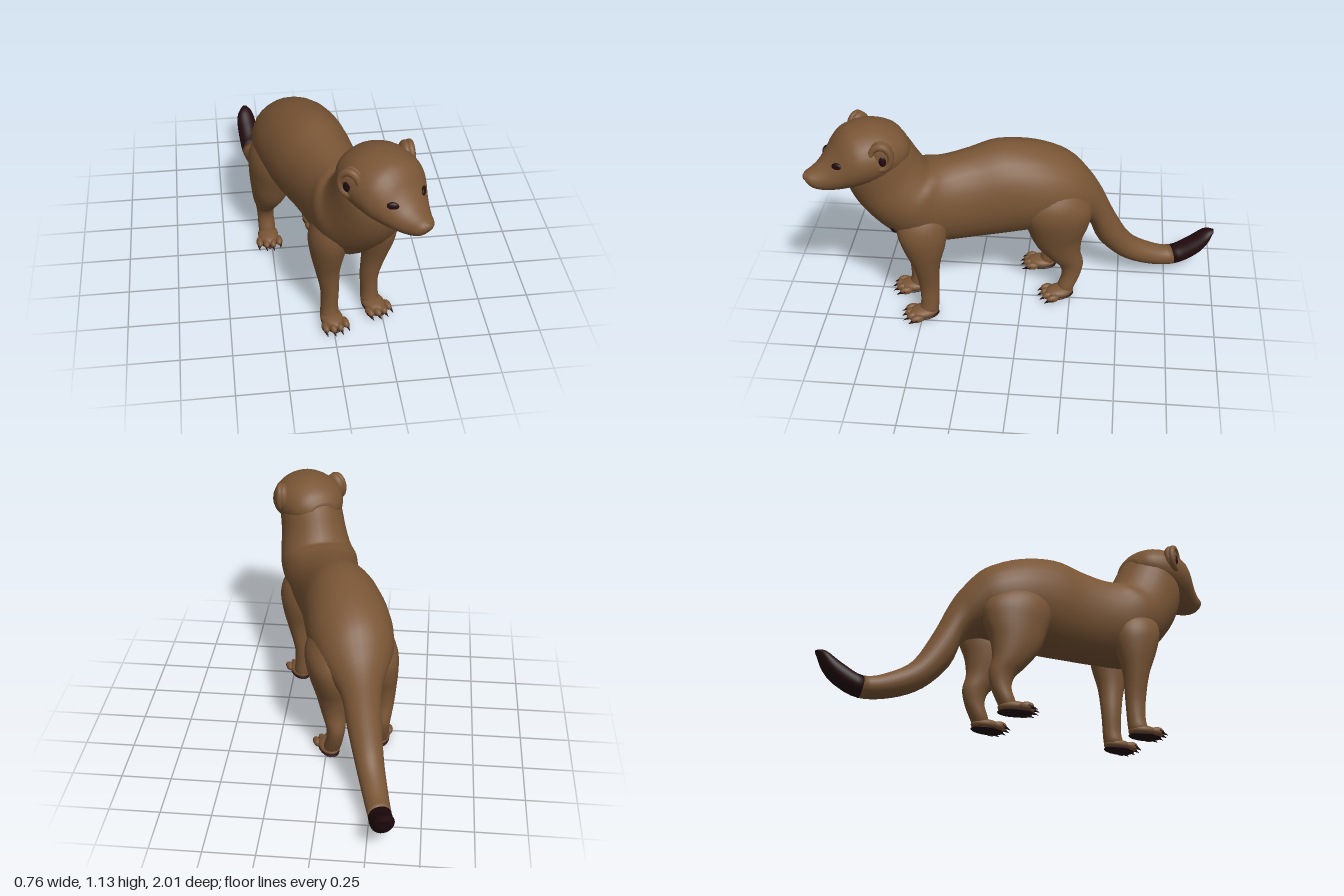
import * as THREE from 'three';

const fur = new THREE.MeshStandardMaterial({ color: 0x795535 });
fur.name = 'brown fur';
const dark = new THREE.MeshStandardMaterial({ color: 0x220a0d });
dark.name = 'dark brown';

const BODY_SLOPE = 0.3; // sideways drift of the body per unit of z

function mesh(name, geometry, material, parent) {
  const m = new THREE.Mesh(geometry, material);
  m.name = name;
  parent.add(m);
  return m;
}

function ball(name, material, parent, pos, scale) {
  const m = mesh(name, new THREE.SphereGeometry(1, 20, 14), material, parent);
  m.position.set(...pos);
  m.scale.set(...scale);
  return m;
}

// Smoothly subdivide control rings
function refine(rings, sub) {
  const out = [];
  const at = (i) => rings[Math.max(0, Math.min(rings.length - 1, i))];
  for (let i = 0; i < rings.length - 1; i++) {
    for (let s = 0; s < sub; s++) {
      const t = s / sub;
      out.push(rings[i].map((b, k) => {
        const a = at(i - 1)[k], c = at(i + 1)[k], d = at(i + 2)[k];
        return b + 0.5 * t * (c - a + t * (2 * a - 5 * b + 4 * c - d + t * (3 * (b - c) + d - a)));
      }));
    }
  }
  out.push(rings[rings.length - 1]);
  return out;
}

// Skin over rings [x, zA, yA, zB, yB, halfWidth]: A and B are opposite points of an oval
function loft(rings, slope) {
  const N = 28, pos = [], idx = [];
  const len = Math.hypot(1, slope);
  for (const [x, zA, yA, zB, yB, w] of rings) {
    const cz = (zA + zB) / 2, cy = (yA + yB) / 2;
    const uz = (zA - zB) / 2, uy = (yA - yB) / 2;
    for (let j = 0; j < N; j++) {
      const a = (j / N) * Math.PI * 2, c = Math.cos(a) * w, s = Math.sin(a);
      pos.push(x + c / len + s * uz * slope, cy + s * uy, cz - (c * slope) / len + s * uz);
    }
  }
  const n = rings.length;
  for (let i = 0; i < n - 1; i++) {
    for (let j = 0; j < N; j++) {
      const a = i * N + j, b = i * N + ((j + 1) % N);
      idx.push(a, b, b + N, a, b + N, a + N);
    }
  }
  for (const [i, flip] of [[0, true], [n - 1, false]]) {
    const [x, zA, yA, zB, yB] = rings[i], c = pos.length / 3;
    pos.push(x, (yA + yB) / 2, (zA + zB) / 2);
    for (let j = 0; j < N; j++) {
      const a = i * N + j, b = i * N + ((j + 1) % N);
      idx.push(c, flip ? b : a, flip ? a : b);
    }
  }
  const g = new THREE.BufferGeometry();
  g.setAttribute('position', new THREE.Float32BufferAttribute(pos, 3));
  g.setIndex(idx);
  g.computeVertexNormals();
  return g;
}

// Tail tip to neck
const tailRings = [
  [-0.33, -1.0, 0.255, -0.985, 0.225, 0.02],
  [-0.33, -0.955, 0.252, -0.962, 0.165, 0.048],
  [-0.32, -0.88, 0.2, -0.905, 0.1, 0.057],
  [-0.305, -0.78, 0.147, -0.79, 0.044, 0.057],
  [-0.275, -0.67, 0.178, -0.64, 0.064, 0.062],
  [-0.24, -0.556, 0.257, -0.5, 0.134, 0.07],
  [-0.205, -0.46, 0.43, -0.385, 0.262, 0.085],
  [-0.185, -0.39, 0.59, -0.33, 0.39, 0.1],
];
const trunkRings = [
  [-0.167, -0.33, 0.69, -0.25, 0.44, 0.145],
  [-0.145, -0.235, 0.8, -0.17, 0.43, 0.19],
  [-0.105, -0.075, 0.88, -0.06, 0.415, 0.212],
  [-0.055, 0.11, 0.915, 0.08, 0.405, 0.202],
  [-0.005, 0.25, 0.89, 0.22, 0.405, 0.182],
  [0.04, 0.33, 0.875, 0.39, 0.41, 0.18],
  [0.08, 0.38, 0.868, 0.56, 0.43, 0.192],
  [0.11, 0.42, 0.865, 0.67, 0.54, 0.202],
  [0.135, 0.45, 0.867, 0.755, 0.65, 0.188],
  [0.15, 0.49, 0.93, 0.81, 0.75, 0.172],
  [0.165, 0.53, 1.01, 0.835, 0.85, 0.165],
  [0.175, 0.57, 1.07, 0.82, 0.93, 0.152],
  [0.18, 0.625, 1.11, 0.76, 0.99, 0.11],
];

// Head in its own frame, facing +z
const headRings = [
  [0, -0.18, 1.03, -0.18, 0.95, 0.07],
  [0, -0.14, 1.085, -0.14, 0.9, 0.13],
  [0, -0.06, 1.125, -0.06, 0.86, 0.17],
  [0, 0.02, 1.133, 0.02, 0.848, 0.18],
  [0, 0.1, 1.12, 0.1, 0.84, 0.168],
  [0, 0.15, 1.083, 0.15, 0.835, 0.143],
  [0, 0.19, 1.03, 0.195, 0.835, 0.115],
  [0, 0.235, 0.983, 0.24, 0.84, 0.088],
  [0, 0.28, 0.958, 0.275, 0.85, 0.066],
  [0, 0.318, 0.943, 0.305, 0.868, 0.047],
  [0, 0.335, 0.925, 0.325, 0.895, 0.022],
];

// Leg rings from top to ankle; x is measured outwards from the ankle
const frontLegRings = [
  [-0.1, 0.54, 0.78, 0.42, 0.78, 0.04],
  [-0.025, 0.59, 0.64, 0.37, 0.64, 0.085],
  [0.008, 0.595, 0.55, 0.36, 0.55, 0.09],
  [0.015, 0.57, 0.45, 0.37, 0.46, 0.08],
  [0.012, 0.53, 0.33, 0.4, 0.34, 0.06],
  [0, 0.51, 0.2, 0.41, 0.2, 0.045],
  [0, 0.505, 0.1, 0.415, 0.1, 0.042],
  [0, 0.515, 0.045, 0.42, 0.045, 0.045],
  [0, 0.5, 0.015, 0.43, 0.015, 0.03],
];
const hindLegRings = [
  [-0.1, -0.07, 0.76, -0.24, 0.74, 0.05],
  [-0.05, -0.015, 0.65, -0.31, 0.63, 0.1],
  [-0.025, 0.0, 0.56, -0.345, 0.55, 0.11],
  [-0.02, -0.03, 0.45, -0.335, 0.46, 0.105],
  [-0.01, -0.07, 0.34, -0.305, 0.37, 0.085],
  [0, -0.14, 0.245, -0.295, 0.28, 0.063],
  [0, -0.19, 0.19, -0.312, 0.2, 0.048],
  [0, -0.205, 0.13, -0.3, 0.13, 0.042],
  [0, -0.185, 0.06, -0.27, 0.06, 0.044],
  [0, -0.19, 0.018, -0.25, 0.018, 0.033],
];

// Paw with four toes, claws and a dark sole
function paw(x, z, yaw, parent) {
  const g = new THREE.Group();
  g.name = 'paw';
  g.position.set(x, 0, z);
  g.rotation.y = yaw;
  parent.add(g);
  ball('pawPad', fur, g, [0, 0.034, 0.03], [0.054, 0.03, 0.078]);
  ball('sole', dark, g, [0, 0.012, 0.035], [0.051, 0.012, 0.085]);
  for (let i = -1.5; i <= 1.5; i++) {
    const tx = i * 0.034, tz = 0.1 - Math.abs(i) * 0.013;
    ball('toe', fur, g, [tx, 0.029, tz], [0.018, 0.021, 0.034]);
    const claw = mesh('claw', new THREE.ConeGeometry(0.014, 0.05, 8), dark, g);
    claw.position.set(tx * 1.1, 0.021, tz + 0.03);
    claw.rotation.x = Math.PI / 2 + 0.35;
  }
}

// side mirrors the profile; lean slants the leg above and below the hock
function leg(name, profile, side, dx, dz, lean, yaw, parent) {
  const g = new THREE.Group();
  g.name = name;
  g.position.set(dx, 0, dz);
  parent.add(g);
  const rings = profile.map(([x, zA, yA, ...rest]) =>
    [side * x + lean * Math.abs(yA - 0.17), zA, yA, ...rest]);
  mesh('limb', loft(refine(rings, 4), BODY_SLOPE), fur, g);
  const [x, zA, , zB] = rings[rings.length - 1];
  paw(x, (zA + zB) / 2, yaw, g);
}

export function createModel() {
  const model = new THREE.Group();
  model.name = 'animal';

  // Trunk, neck and tail share one skin; only the tail tip is dark
  const SUB = 4, skin = refine([...tailRings, ...trunkRings], SUB);
  mesh('tailTip', loft(skin.slice(0, 3 * SUB + 1), BODY_SLOPE), dark, model);
  mesh('body', loft(skin.slice(3 * SUB), BODY_SLOPE), fur, model);
  const patch = ball('chestPatch', dark, model, [0.257, 0.58, 0.612], [0.028, 0.015, 0.009]);
  patch.rotation.y = 0.7;

  // Legs
  leg('leftFrontLeg', frontLegRings, 1, 0.193, 0, 0.05, 0.42, model);
  leg('rightFrontLeg', frontLegRings, -1, -0.012, 0.085, 0, 0.25, model);
  leg('leftHindLeg', hindLegRings, 1, -0.055, 0, 0.2, 0.4, model);
  leg('rightHindLeg', hindLegRings, -1, -0.275, 0.11, 0.05, 0.05, model);

  // Head, turned towards its left
  const head = new THREE.Group();
  head.name = 'head';
  head.position.set(0.18, 0, 0.71);
  head.rotation.y = 0.54;
  model.add(head);
  mesh('skull', loft(refine(headRings, 4), 0), fur, head);
  ball('nose', fur, head, [0, 0.922, 0.316], [0.025, 0.02, 0.02]);
  for (const s of [-1, 1]) {
    const eye = ball('eye', dark, head, [s * 0.086, 0.988, 0.19], [0.029, 0.02, 0.012]);
    eye.rotation.y = s * 0.75;

    // Ear: cupped rim around a dark opening
    const ear = new THREE.Group();
    ear.name = s > 0 ? 'leftEar' : 'rightEar';
    ear.position.set(s * 0.16, 1.032, 0);
    ear.rotation.y = s * 1.1;
    head.add(ear);
    ball('earBack', fur, ear, [0, 0, -0.012], [0.06, 0.076, 0.035]);
    const rim = mesh('earRim', new THREE.TorusGeometry(0.046, 0.015, 12, 28), fur, ear);
    rim.scale.set(1, 1.28, 1.2);
    rim.position.z = 0.008;
    ball('earOpening', dark, ear, [s * 0.008, -0.012, 0.018], [0.018, 0.028, 0.01]);
  }
  return model;
}
